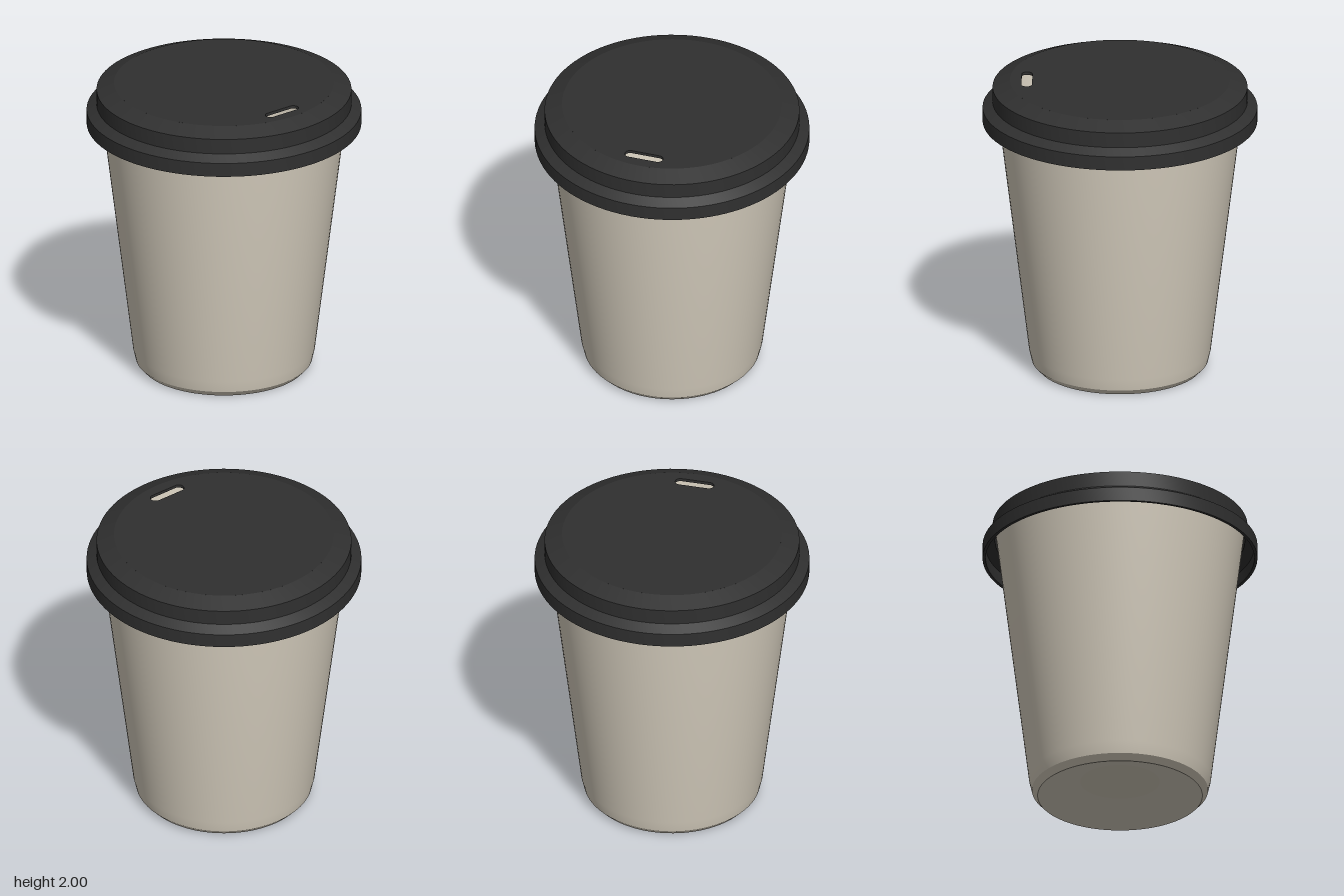
import * as THREE from 'three';
import { toCreasedNormals } from 'three/addons/utils/BufferGeometryUtils.js';

const SEGMENTS = 96;

// Turns a [radius, height] profile around y, keeping distinct bends sharp
function turned(name, profile, material) {
  const points = profile.map(([r, y]) => new THREE.Vector2(r, y));
  const geometry = toCreasedNormals(new THREE.LatheGeometry(points, SEGMENTS), 0.3);
  const mesh = new THREE.Mesh(geometry, material);
  mesh.name = name;
  return mesh;
}

// Disc with a rounded slot cut through it near the front
function lidTopGeometry(radius, thickness) {
  const disc = new THREE.Shape();
  disc.absarc(0, 0, radius, 0, Math.PI * 2, false);
  const slot = new THREE.Path();
  const halfLength = 0.095, r = 0.035, z = 0.61;
  slot.absarc(halfLength, -z, r, -Math.PI / 2, Math.PI / 2, false);
  slot.absarc(-halfLength, -z, r, Math.PI / 2, Math.PI * 1.5, false);
  slot.closePath();
  disc.holes.push(slot);
  const geometry = new THREE.ExtrudeGeometry(disc, {
    depth: thickness, bevelEnabled: false, curveSegments: SEGMENTS,
  });
  return geometry.rotateX(-Math.PI / 2);
}

export function createModel() {
  const paper = new THREE.MeshStandardMaterial({ color: 0xd9d1c1 });
  paper.name = 'warm beige';
  const plastic = new THREE.MeshStandardMaterial({ color: 0x303030 });
  plastic.name = 'charcoal';

  const model = new THREE.Group();
  model.name = 'lidded cup';

  // Hollow cup with a recessed base and chamfered foot
  model.add(turned('cup', [
    [0, 0.1], [0.26, 0.1], [0.54, 0], [0.577, 0.04], [0.596, 0.12],
    [0.815, 1.9], [0.795, 1.9], [0.576, 0.14], [0, 0.14],
  ], paper));

  // Lid wall: skirt, shoulder, collar and bevel, with its hollow underside
  const lid = new THREE.Group();
  lid.name = 'lid';
  lid.add(turned('lidWall', [
    [0.72, 1.98], [0.818, 1.94], [0.818, 1.84], [0.88, 1.8], [0.88, 1.715],
    [0.9, 1.715], [0.9, 1.81], [0.835, 1.85], [0.835, 1.953], [0.72, 2],
  ], plastic));

  // Flat lid top with the drinking slot
  const top = new THREE.Mesh(lidTopGeometry(0.72, 0.02), plastic);
  top.name = 'lidTop';
  top.position.y = 1.98;
  lid.add(top);
  model.add(lid);

  return model;
}
